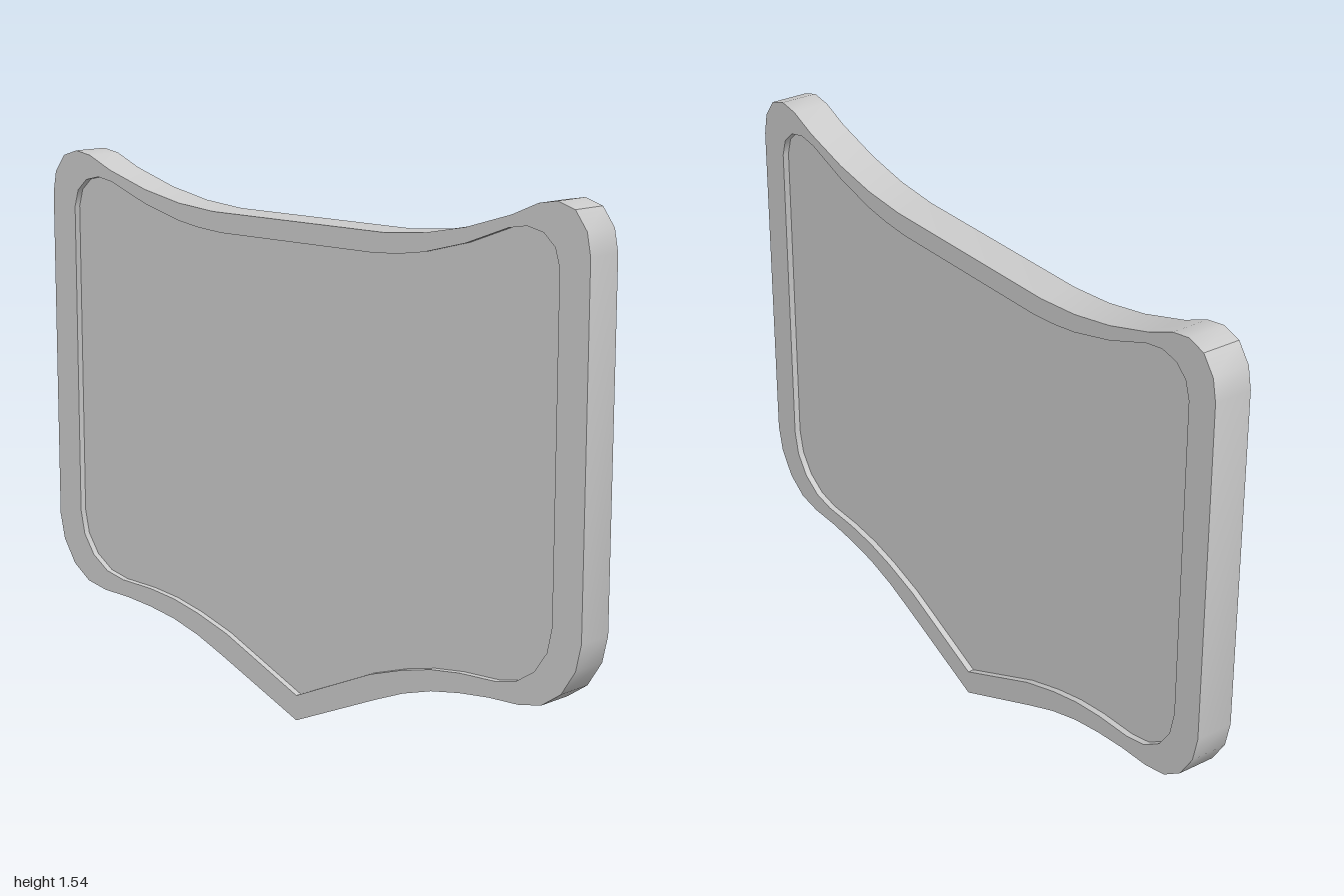
import * as THREE from 'three';
import { toCreasedNormals } from 'three/addons/utils/BufferGeometryUtils.js';

// Half outlines as [z, y], from the bottom point around to the top edge
const OUTER = [
  [0, 0], [0.3, 0.128], [0.4, 0.168], [0.5, 0.197], [0.6, 0.214], [0.7, 0.224], [0.8, 0.227],
  [0.875, 0.242], [0.938, 0.285], [0.983, 0.355], [1, 0.43],
  [1, 1.41], [0.988, 1.472], [0.95, 1.523], [0.895, 1.54], [0.835, 1.53],
  [0.75, 1.494], [0.6, 1.449], [0.46, 1.422], [0.32, 1.41],
];
const INNER = [
  [0, 0.073], [0.28, 0.196], [0.4, 0.234], [0.5, 0.257], [0.6, 0.269], [0.72, 0.273],
  [0.79, 0.288], [0.85, 0.327], [0.89, 0.385], [0.905, 0.455],
  [0.905, 1.375], [0.89, 1.425], [0.853, 1.458], [0.8, 1.47], [0.74, 1.46],
  [0.6, 1.408], [0.46, 1.372], [0.38, 1.36], [0.29, 1.353],
];

const THICKNESS = 0.11;
const RECESS = 0.018;

// Full closed outline from a half outline, mirrored across the centre line
function outline(half) {
  const mirrored = half.slice(1).reverse().map(([z, y]) => [-z, y]);
  return [...half, ...mirrored].map(([z, y]) => new THREE.Vector2(z, y));
}

// Slab of the given thickness, centred on x = 0 and facing sideways
function slab(name, shape, depth, material) {
  const geometry = new THREE.ExtrudeGeometry(shape, { depth, bevelEnabled: false });
  geometry.translate(0, 0, -depth / 2).rotateY(-Math.PI / 2);
  const mesh = new THREE.Mesh(toCreasedNormals(geometry, 0.6), material);
  mesh.name = name;
  return mesh;
}

export function createModel() {
  const material = new THREE.MeshStandardMaterial({ color: 0xcccccc });
  const model = new THREE.Group();
  model.name = 'signBoard';

  // Raised border
  const border = new THREE.Shape(outline(OUTER));
  border.holes.push(new THREE.Path(outline(INNER)));
  model.add(slab('border', border, THICKNESS, material));

  // Panel set back on both faces
  model.add(slab('panel', new THREE.Shape(outline(INNER)), THICKNESS - 2 * RECESS, material));

  return model;
}
